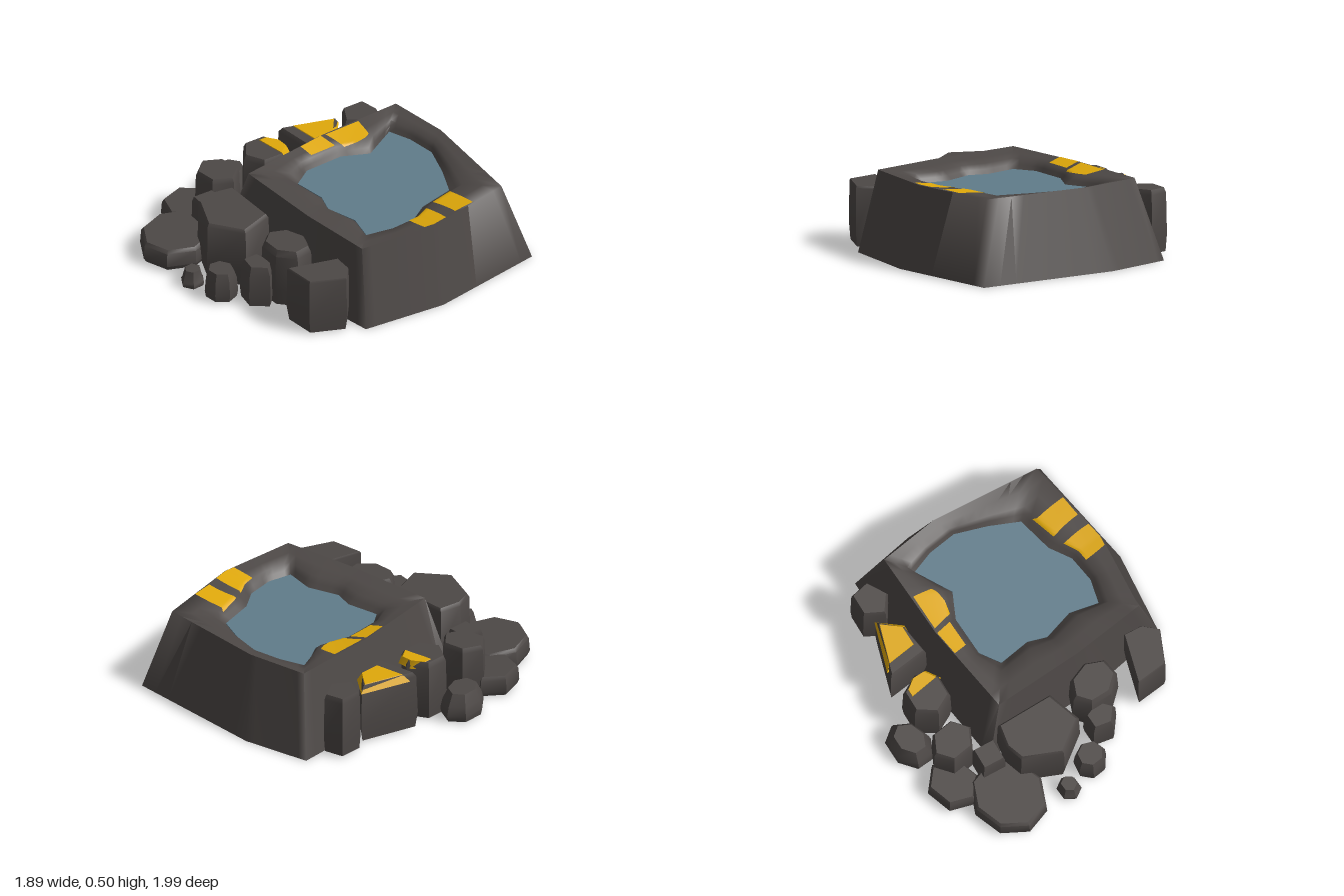
import * as THREE from 'three';
import { toCreasedNormals } from 'three/addons/utils/BufferGeometryUtils.js';

const rockMat = new THREE.MeshStandardMaterial({ color: 0x4d4846, side: THREE.DoubleSide });
const waterMat = new THREE.MeshStandardMaterial({ color: 0x607c8b });
const goldMat = new THREE.MeshStandardMaterial({ color: 0xe0a90a, side: THREE.DoubleSide });
rockMat.name = 'dark rock';
waterMat.name = 'water';
goldMat.name = 'gold';

// Outlines as [x, z], clockwise from above, starting at the back left
const foot = [[-0.38, -0.58], [0.3, -0.45], [0.94, -0.27], [0.89, 0.15],
  [0.58, 0.99], [-0.14, 0.88], [-0.62, 0.67], [-0.56, 0.15]];
const crest = [[-0.32, -0.43], [0.26, -0.33], [0.79, -0.18], [0.73, 0.2],
  [0.48, 0.84], [-0.08, 0.77], [-0.54, 0.58], [-0.46, 0.12]];
const shore = [[-0.14, -0.2], [0, -0.24], [0.24, -0.17], [0.37, -0.05],
  [0.62, -0.1], [0.63, 0.05], [0.6, 0.23], [0.48, 0.4],
  [0.35, 0.55], [0.12, 0.53], [-0.03, 0.57], [-0.2, 0.54],
  [-0.33, 0.46], [-0.24, 0.3], [-0.24, 0.1], [-0.17, 0]];

const at = (pts, y) => pts.map(([x, z]) => new THREE.Vector3(x, y, z));
const centre = (ring) => ring.reduce((s, p) => s.add(p), new THREE.Vector3()).divideScalar(ring.length);

// Doubles the point count of a ring by adding the middle of each side
const halve = (ring) => ring.flatMap((p, i) => [p, p.clone().lerp(ring[(i + 1) % ring.length], 0.5)]);

// Ring scaled about its own centre
const scaled = (pts, s, y) => {
  const ring = at(pts, y), c = centre(ring);
  return ring.map((p) => p.lerp(c, 1 - s));
};

// Skins a stack of closed rings, with optional caps
function loft(rings, { top = false, bottom = false, crease = 0.75 } = {}) {
  const tris = [];
  for (let k = 0; k + 1 < rings.length; k++) {
    const a = rings[k], b = rings[k + 1];
    a.forEach((p, i) => {
      const j = (i + 1) % a.length;
      tris.push(p, b[i], a[j], a[j], b[i], b[j]);
    });
  }
  const cap = (ring, up) => {
    const c = centre(ring);
    ring.forEach((p, i) => {
      const q = ring[(i + 1) % ring.length];
      tris.push(c, up ? q : p, up ? p : q);
    });
  };
  if (top) cap(rings[rings.length - 1], true);
  if (bottom) cap(rings[0], false);
  return toCreasedNormals(new THREE.BufferGeometry().setFromPoints(tris), crease);
}

// Basin surface: u runs round the outline, v climbs the wall, crosses the flat rim and drops to the water
const rim = halve(at(crest, 0.5));
const ledge = at(shore, 0.475).map((p, i) => p.lerp(rim[i], 0.25).setY(0.475));
const levels = [halve(at(foot, 0.005)), rim, ledge, at(shore, 0.42)];
function surface(u, v) {
  const i = Math.floor(u), k = Math.min(Math.floor(v), 2);
  const along = (ring) => ring[i].clone().lerp(ring[(i + 1) % ring.length], u - i);
  return along(levels[k]).lerp(along(levels[k + 1]), v - k);
}

// Thin four-cornered patch on the rim; corners are [u, v], two on the outer edge then two on the inner
function patch([a, b, c, d], dy) {
  const n = 12, pts = [], mix = THREE.MathUtils.lerp;
  const p = (i, j) => {
    const [u, v] = [0, 1].map((k) => mix(mix(a[k], b[k], i / n), mix(c[k], d[k], i / n), j / n));
    const s = surface(u, v);
    s.y += dy;
    return s;
  };
  for (let i = 0; i < n; i++) for (let j = 0; j < n; j++) {
    pts.push(p(i, j), p(i, j + 1), p(i + 1, j), p(i + 1, j), p(i, j + 1), p(i + 1, j + 1));
  }
  return toCreasedNormals(new THREE.BufferGeometry().setFromPoints(pts), 1);
}

// Polygon footprint with n sides, turned by some degrees, then fitted to half sizes rx and rz
function footprint(x, z, rx, rz, n, turn) {
  const angles = Array.from({ length: n }, (_, i) => THREE.MathUtils.degToRad(turn) + i * 2 * Math.PI / n);
  const fit = (values, mid, half) => {
    const lo = Math.min(...values), hi = Math.max(...values);
    return values.map((v) => mid + half * (2 * (v - lo) / (hi - lo) - 1));
  };
  const xs = fit(angles.map(Math.cos), x, rx), zs = fit(angles.map(Math.sin), z, rz);
  return xs.map((px, i) => [px, zs[i]]);
}

// Boulder: footprint raised to a height, with a bevelled top shrunk by inset
const boulder = (pts, h, inset) => loft([scaled(pts, 0.93, 0.015), scaled(pts, 1, h * 0.3),
  scaled(pts, 1 - inset * 0.3, h - inset * 0.2), scaled(pts, 1 - inset, h)], { top: true, bottom: true });

// name, x, z, half width, half depth, sides, turn, height, inset
const boulders = [
  ['flatBackBoulder', -0.64, -0.715, 0.23, 0.205, 8, 20, 0.15, 0.1],
  ['flatRearBoulder', -0.34, -0.87, 0.17, 0.13, 6, 0, 0.14, 0.12],
  ['backBoulder', 0.02, -0.85, 0.16, 0.12, 7, 10, 0.18, 0.35],
  ['tallBackBoulder', -0.22, -0.735, 0.12, 0.145, 6, 40, 0.35, 0.15],
  ['narrowBackBoulder', -0.425, -0.645, 0.095, 0.095, 4, 65, 0.29, 0.15],
  ['goldBackBoulder', 0.08, -0.62, 0.14, 0.14, 6, 20, 0.385, 0.16],
  ['cornerBoulder', 0.7, -0.395, 0.12, 0.105, 5, 40, 0.4, 0.15],
  ['smallLeftBoulder', -0.865, -0.43, 0.075, 0.07, 6, 15, 0.12, 0.35],
  ['lowLeftBoulder', -0.855, -0.23, 0.095, 0.1, 7, 10, 0.2, 0.25],
  ['middleLeftBoulder', -0.77, -0.02, 0.09, 0.11, 5, 32, 0.28, 0.25],
  ['roundLeftBoulder', -0.62, 0.075, 0.13, 0.165, 7, 20, 0.39, 0.2],
];

export function createModel() {
  const model = new THREE.Group();
  model.name = 'rockPool';
  const add = (name, geometry, material) => {
    const mesh = new THREE.Mesh(geometry, material);
    mesh.name = name;
    model.add(mesh);
  };

  // Hollow basin wall, rim and inner slope
  const rings = [0, 1, 1.5, 2, 2.5, 3].map((v) =>
    Array.from({ length: shore.length * 4 }, (_, i) => surface(i / 4, v)));
  add('basin', loft(rings, { crease: 1.45 }), rockMat);

  // Pool with a stone floor beneath
  add('water', loft([at(shore, 0.37), at(shore, 0.425)], { top: true }), waterMat);
  add('poolFloor', loft([at(shore, 0.385)], { bottom: true }), rockMat);

  // Gold patches, on both faces of the rim
  const patches = [
    ['frontPatch', [[8.84, 1.02], [9.33, 1.07], [8.3, 2.3], [9.03, 2.12]]],
    ['frontPatch', [[9.64, 1.03], [10.26, 1.04], [9.43, 2.2], [10.37, 2]]],
    ['backPatch', [[1.41, 1.04], [1.97, 1.04], [1.35, 1.87], [2, 1.93]]],
    ['backPatch', [[2.08, 1.08], [2.97, 1.08], [2.23, 2.2], [3.12, 1.8]]],
  ];
  for (const [name, corners] of patches) {
    for (const dy of [0.004, -0.004]) add(name, patch(corners, dy), goldMat);
  }

  // Boulders round the back and left
  for (const [name, x, z, rx, rz, sides, turn, h, inset] of boulders) {
    add(name, boulder(footprint(x, z, rx, rz, sides, turn), h, inset), rockMat);
  }
  add('bigLeftBoulder', boulder([[-0.79, -0.38], [-0.62, -0.58], [-0.5, -0.58], [-0.37, -0.51],
    [-0.48, -0.15], [-0.71, -0.15]], 0.41, 0.1), rockMat);
  add('goldSideBoulder', boulder([[0.3, -0.69], [0.61, -0.47], [0.46, -0.38], [0.25, -0.42]], 0.385, 0.14), rockMat);
  add('frontLeftBoulder', boulder([[-0.87, 0.44], [-0.83, 0.24], [-0.56, 0.42], [-0.6, 0.53], [-0.7, 0.59]],
    0.38, 0.06), rockMat);

  // Gold tops of two boulders, folding over their outer edges
  const tops = [
    [[0.13, -0.69], [0.175, -0.675], [0.2, -0.6], [0.18, -0.53], [0.105, -0.51]],
    [[0.37, -0.62], [0.57, -0.475], [0.46, -0.4], [0.34, -0.44]],
  ];
  for (const pts of tops) {
    add('boulderPatch', loft([scaled(pts, 1.33, 0.34), at(pts, 0.389)], { top: true }), goldMat);
  }

  return model;
}
